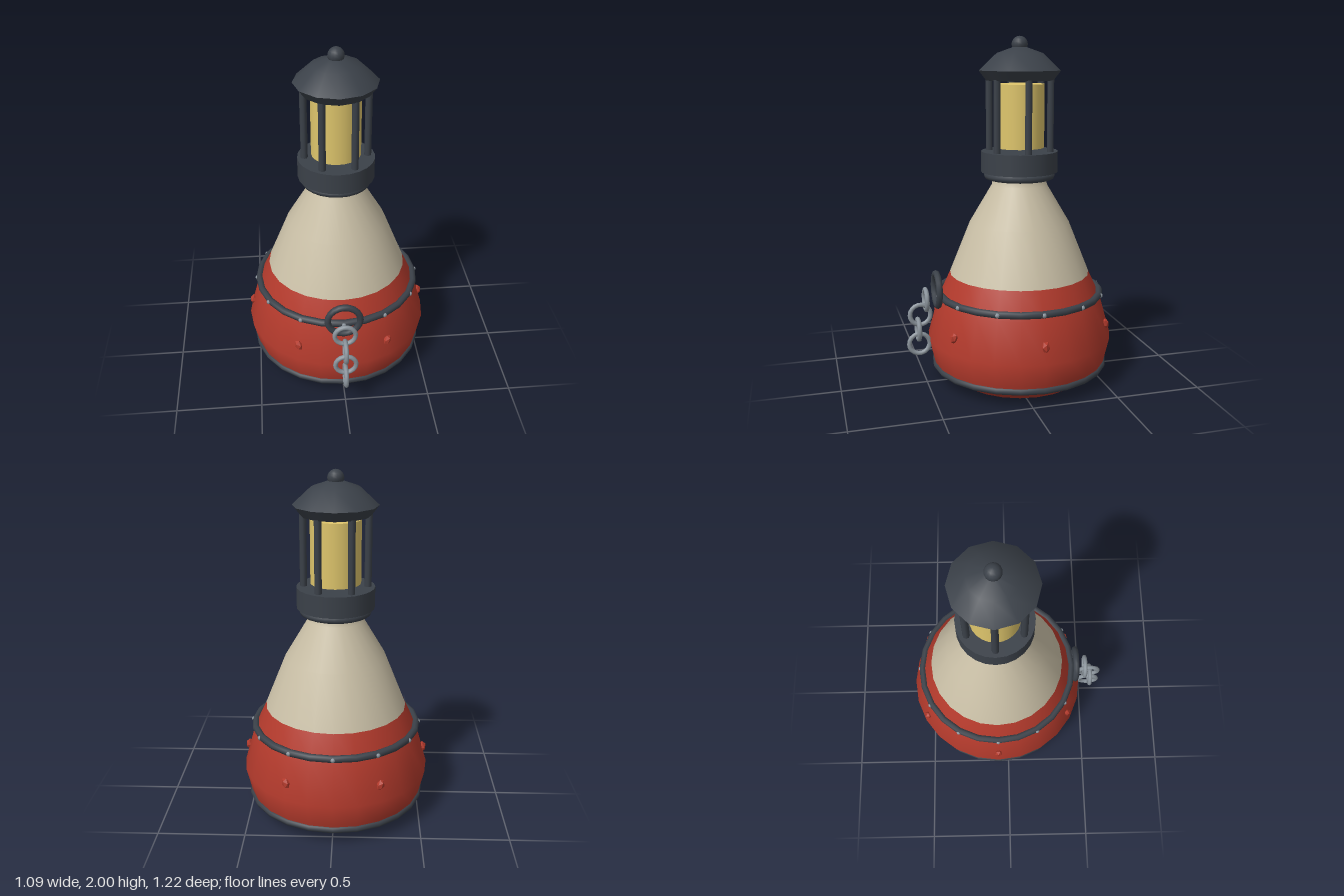
import * as THREE from 'three';

const mat = (name, color) => {
  const m = new THREE.MeshStandardMaterial({ color });
  m.name = name;
  return m;
};

export function createModel() {
  const red = mat('red paint', 0xb33a2c);
  const cream = mat('cream paint', 0xc9bfa6);
  const iron = mat('dark iron', 0x3b4149);
  const glow = mat('lamp yellow', 0xdfc66c);
  const steel = mat('steel', 0x8b949c);

  const model = new THREE.Group();
  model.name = 'buoy';
  const buoy = new THREE.Group();
  buoy.name = 'floatAndLantern';
  buoy.position.set(-0.004, 0, -0.065);
  model.add(buoy);

  const add = (name, geo, material, x = 0, y = 0, z = 0) => {
    const mesh = new THREE.Mesh(geo, material);
    mesh.name = name;
    mesh.position.set(x, y, z);
    buoy.add(mesh);
    return mesh;
  };
  const lathe = (pts, seg) =>
    new THREE.LatheGeometry(pts.map(([r, y]) => new THREE.Vector2(r, y)), seg);
  const hoop = (name, R, tube, y) => {
    add(name, new THREE.TorusGeometry(R, tube, 8, 24), iron, 0, y, 0).rotation.x = Math.PI / 2;
  };

  // Float: flat underside, red hull, cream cone
  add('hullUnderside', lathe([[0, 0], [0.38, 0]], 24), red);
  add('hullChine', lathe([[0.38, 0], [0.5, 0.075]], 24), red);
  add('hull', lathe([[0.5, 0.075], [0.515, 0.13], [0.545, 0.26], [0.48, 0.49], [0.41, 0.64]], 24), red);
  add('cone', lathe([[0.41, 0.64], [0.29, 0.94], [0.16, 1.16], [0.155, 1.21]], 24), cream);

  // Iron hoops
  hoop('upperBand', 0.475, 0.021, 0.522);
  hoop('lowerBand', 0.502, 0.021, 0.095);
  hoop('neckRing', 0.184, 0.022, 1.215);

  // Rivets on the upper band
  for (let i = 0; i < 12; i++) {
    const a = (i * Math.PI) / 6;
    add('rivet', new THREE.SphereGeometry(0.014, 8, 6), steel,
      Math.cos(a) * 0.488, 0.522, Math.sin(a) * 0.488);
  }

  // Lumps on the hull
  for (let i = 0; i < 6; i++) {
    const a = (i * Math.PI) / 3;
    const lump = add('lump', new THREE.IcosahedronGeometry(0.03, 0), red,
      Math.sin(a + Math.PI / 6) * 0.52, 0.353, Math.cos(a + Math.PI / 6) * 0.52);
    lump.rotation.set(0, a + Math.PI / 6, ((i % 3) - 1) * 0.35);
    lump.scale.set(0.8, 1.15, 0.75);
  }

  // Lantern base, lamp and cage
  add('lanternBase', new THREE.CylinderGeometry(0.221, 0.221, 0.12, 24), iron, 0, 1.295, 0);
  add('lamp', new THREE.CylinderGeometry(0.142, 0.142, 0.36, 24), glow, 0, 1.555, 0);
  for (let i = 0; i < 6; i++) {
    const a = (i * Math.PI) / 3;
    add('cagePost', new THREE.CylinderGeometry(0.02, 0.02, 0.44, 8), iron,
      Math.cos(a) * 0.18, 1.56, Math.sin(a) * 0.18);
  }

  // Roof and knob
  add('roofUnderside', lathe([[0, 1.755], [0.195, 1.755]], 12), iron);
  add('roofEdge', lathe([[0.195, 1.755], [0.237, 1.81]], 12), iron);
  add('roof', lathe([[0.237, 1.81], [0.135, 1.905], [0.035, 1.94], [0, 1.94]], 12), iron);
  add('roofKnob', new THREE.SphereGeometry(0.046, 14, 10), iron, 0, 1.954, 0);

  // Mooring ring and hanging chain
  add('mooringRing', new THREE.TorusGeometry(0.094, 0.019, 8, 20), iron, 0, 0.562, 0.497);
  const links = [[0.507, 0.563], [0.418, 0.597], [0.33, 0.61], [0.242, 0.605]];
  links.forEach(([y, z], i) => {
    const link = add('chainLink', new THREE.TorusGeometry(0.06, 0.0135, 8, 18), steel, 0, y, z);
    link.rotation.y = i % 2 ? Math.PI / 2 : 0;
  });

  return model;
}
